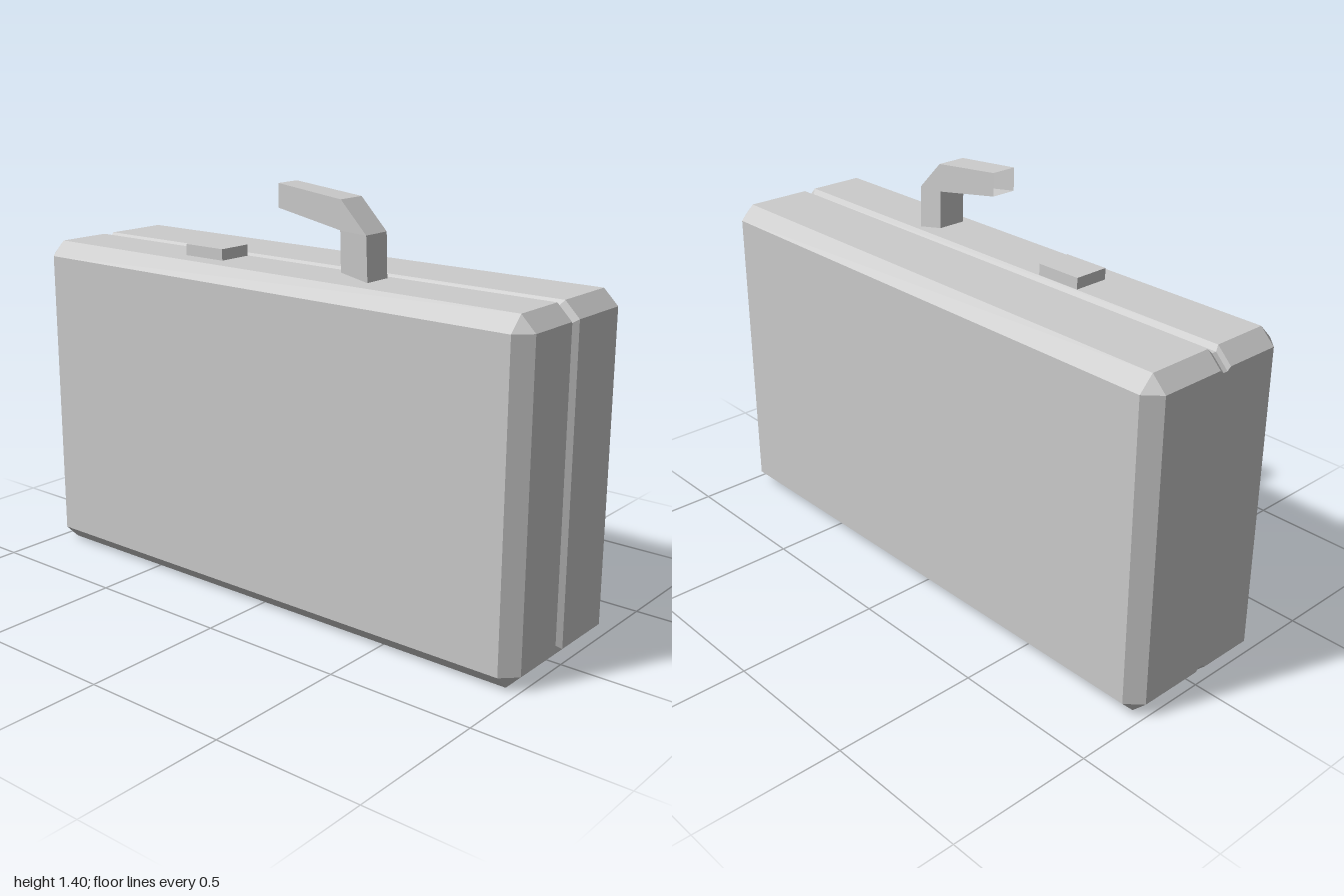
import * as THREE from 'three';

const material = new THREE.MeshStandardMaterial({ color: 0xcccccc, flatShading: true });
const openMaterial = new THREE.MeshStandardMaterial({ color: 0xcccccc, flatShading: true, side: THREE.DoubleSide });

// Joins equal-length rings of points, each counter-clockwise when looking along the loft
function loft(rings, capped) {
  const positions = [];
  const tri = (a, b, c) => positions.push(...a, ...b, ...c);
  const n = rings[0].length;
  for (let r = 0; r < rings.length - 1; r++) {
    const a = rings[r], b = rings[r + 1];
    for (let i = 0; i < n; i++) {
      const j = (i + 1) % n;
      tri(a[i], b[i], a[j]);
      tri(a[j], b[i], b[j]);
    }
  }
  if (capped) {
    const first = rings[0], last = rings[rings.length - 1];
    for (let i = 1; i < n - 1; i++) {
      tri(first[0], first[i], first[i + 1]);
      tri(last[0], last[i + 1], last[i]);
    }
  }
  const geometry = new THREE.BufferGeometry();
  geometry.setAttribute('position', new THREE.Float32BufferAttribute(positions, 3));
  geometry.computeVertexNormals();
  return geometry;
}

// Rectangle with cut corners at depth z; the -x side has its own inset
function bodyRing(z, inset, cut, leftInset = inset) {
  const x0 = -1 + leftInset, x1 = 1 - inset, y0 = inset, y1 = 1.13 - inset;
  return [
    [x0 + cut, y0, z], [x1 - cut, y0, z], [x1, y0 + cut, z], [x1, y1 - cut, z],
    [x1 - cut, y1, z], [x0 + cut, y1, z], [x0, y1 - cut, z], [x0, y0 + cut, z],
  ];
}

export function createModel() {
  const model = new THREE.Group();
  const add = (name, geometry, mat = material) => {
    const mesh = new THREE.Mesh(geometry, mat);
    mesh.name = name;
    model.add(mesh);
    return mesh;
  };

  // Chamfered case; the seam groove runs over the top, bottom and +x side only
  add('caseBody', loft([
    bodyRing(0.284, 0.05, 0),
    bodyRing(0.235, 0, 0.05),
    bodyRing(0.04, 0, 0.05),
    bodyRing(0.026, 0.016, 0.045, 0),
    bodyRing(0.009, 0.016, 0.045, 0),
    bodyRing(-0.005, 0, 0.05),
    bodyRing(-0.235, 0, 0.05),
    bodyRing(-0.284, 0.05, 0),
  ], true));

  // Latch block on the top
  add('latch', new THREE.BoxGeometry(0.165, 0.05, 0.125)).position.set(-0.3175, 1.143, 0.1045);

  // Bent, open-ended handle: inner edge, outer edge, back z, front z
  const sections = [
    [[0, 1.325], [0, 1.403], 0.062, 0.152],
    [[0.26, 1.28], [0.26, 1.375], 0.06, 0.163],
    [[0.26, 1.28], [0.36, 1.275], 0.062, 0.165],
    [[0.262, 1.15], [0.365, 1.13], 0.062, 0.163],
  ];
  add('handle', loft(sections.map(([inner, outer, back, front]) => [
    [...inner, back], [...inner, front], [...outer, front], [...outer, back],
  ]), false), openMaterial);

  return model;
}
